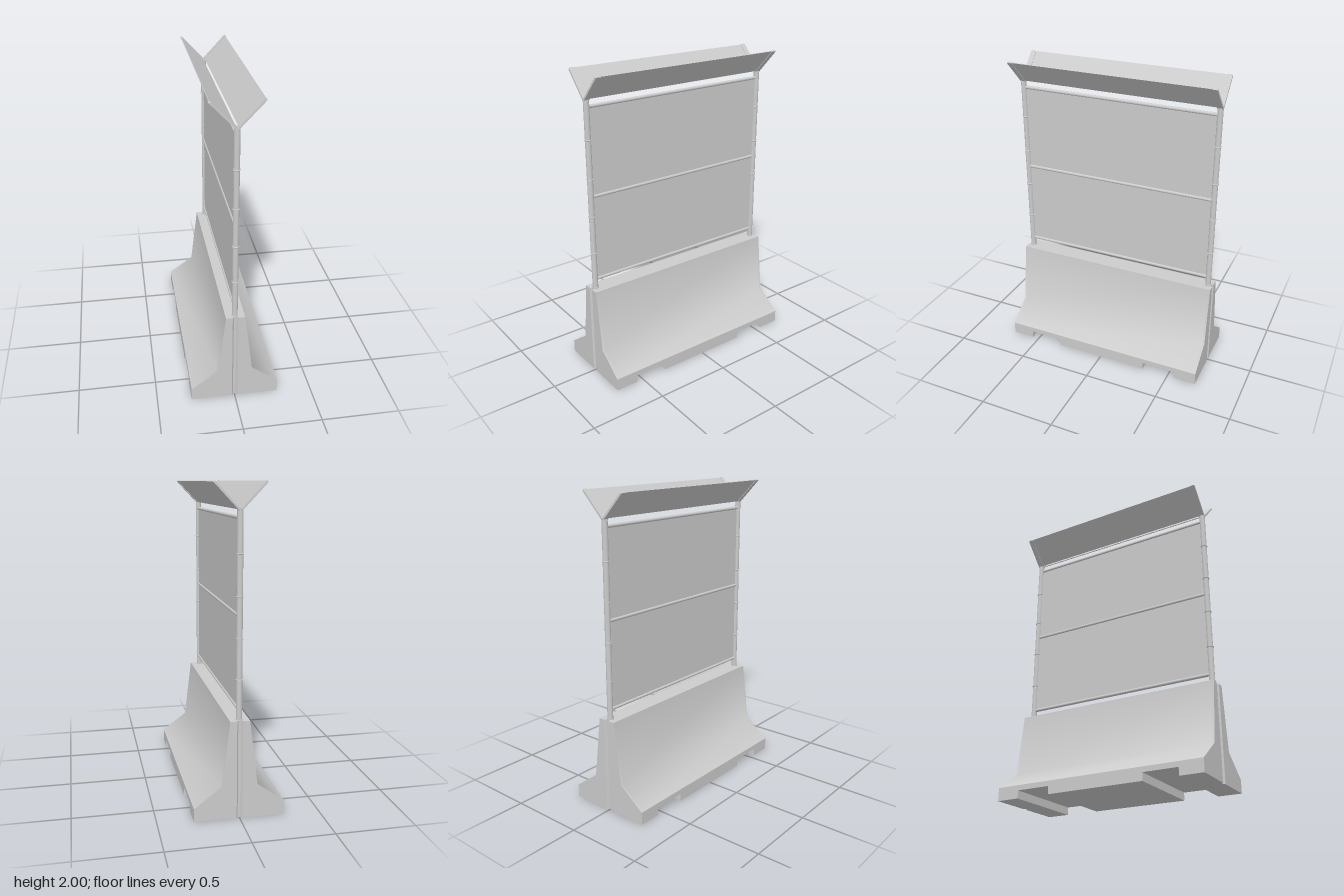
import * as THREE from 'three';
import { toCreasedNormals } from 'three/addons/utils/BufferGeometryUtils.js';

const HALF = 0.696;      // half length of the barrier
const GROOVE = 0.012;    // depth of the end grooves
const POST_Z = 0.662;
const POST_TOP = 1.838;
const BASE_TOP = 0.615;

const material = new THREE.MeshStandardMaterial({ color: 0xcccccc });

function add(parent, name, geometry, x = 0, y = 0, z = 0) {
  const mesh = new THREE.Mesh(geometry, material);
  mesh.name = name;
  mesh.position.set(x, y, z);
  parent.add(mesh);
  return mesh;
}

// Right half of the barrier outline, bottom to top
const sidePoints = (bottom) => [[0.28, bottom], [0.28, 0.083], [0.11, 0.21], [0.06, BASE_TOP]];

function extrudeOutline(points, depth) {
  const shape = new THREE.Shape(points.map(([x, y]) => new THREE.Vector2(x, y)));
  return new THREE.ExtrudeGeometry(shape, { depth, bevelEnabled: false });
}

function buildBarrier() {
  const barrier = new THREE.Group();
  barrier.name = 'concreteBarrier';
  const inner = HALF - GROOVE;

  // Main body, raised over the forklift slots
  const right = sidePoints(0.05);
  const left = right.map(([x, y]) => [-x, y]).reverse();
  const body = extrudeOutline([...right, ...left], inner * 2).translate(0, 0, -inner);
  add(barrier, 'barrierBody', toCreasedNormals(body, 0.87));

  // Feet between the slots
  add(barrier, 'middleFoot', new THREE.BoxGeometry(0.56, 0.05, 0.64), 0, 0.025, 0);
  const footLength = inner - 0.545;
  for (const s of [1, -1]) {
    add(barrier, 'endFoot', new THREE.BoxGeometry(0.56, 0.05, footLength), 0, 0.025, s * (inner - footLength / 2));
  }

  // End faces in two halves, leaving a tapered groove in the middle
  for (const turn of [0, Math.PI]) {
    for (const s of [1, -1]) {
      const outline = [[0.018, 0], ...sidePoints(0), [0.018, BASE_TOP]].map(([x, y]) => [s * x, y]);
      const half = extrudeOutline(outline, GROOVE);
      const p = half.attributes.position;
      for (let i = 0; i < p.count; i++) {
        if (Math.abs(p.getX(i)) < 0.02 && p.getZ(i) < GROOVE / 2) p.setX(i, s * 0.009);
      }
      half.translate(0, 0, inner).rotateY(turn);
      add(barrier, 'barrierEnd', toCreasedNormals(half, 0.87));
    }
  }
  return barrier;
}

function buildPost(z) {
  const post = new THREE.Group();
  post.name = 'post';
  post.position.z = z;
  const height = POST_TOP - BASE_TOP + 0.02;
  add(post, 'postTube', new THREE.CylinderGeometry(0.018, 0.018, height, 24), 0, POST_TOP - height / 2, 0);
  add(post, 'postCollar', new THREE.CylinderGeometry(0.021, 0.021, 0.008, 24), 0, BASE_TOP + 0.003, 0);
  for (let i = 0; i < 4; i++) {
    const ring = new THREE.TorusGeometry(0.0185, 0.004, 8, 24).rotateX(Math.PI / 2);
    add(post, 'postRing', ring, 0, 0.86 + i * 0.245, 0);
  }
  return post;
}

// Flat arm along +x with rounded outer corners
function armGeometry(length, width, thickness) {
  const w = width / 2, r = 0.01;
  const shape = new THREE.Shape();
  shape.moveTo(-0.004, -w);
  shape.lineTo(length - r, -w);
  shape.quadraticCurveTo(length, -w, length, -w + r);
  shape.lineTo(length, w - r);
  shape.quadraticCurveTo(length, w, length - r, w);
  shape.lineTo(-0.004, w);
  const arm = new THREE.ExtrudeGeometry(shape, { depth: thickness, bevelEnabled: false, curveSegments: 6 });
  return arm.translate(0, 0, -thickness / 2).rotateX(-Math.PI / 2);
}

// One sloping half of the V-shaped top guard
function buildWing(turn) {
  const wing = new THREE.Group();
  wing.name = 'topGuardWing';
  wing.rotation.y = turn;
  const slope = new THREE.Group();
  slope.name = 'wingSlope';
  slope.position.set(0.007, 1.841, 0);
  slope.rotation.z = THREE.MathUtils.degToRad(46.5);
  wing.add(slope);
  const length = 0.213;
  for (const s of [1, -1]) add(slope, 'wingArm', armGeometry(length, 0.036, 0.012), 0, 0, s * POST_Z);
  add(slope, 'wingPanel', new THREE.BoxGeometry(length - 0.004, 0.005, 1.29), length / 2, 0, 0);
  return wing;
}

export function createModel() {
  const model = new THREE.Group();
  model.name = 'barrierWithScreen';
  model.add(buildBarrier());
  for (const s of [1, -1]) model.add(buildPost(s * POST_Z));

  // Screen panel and its horizontal rails
  add(model, 'screenPanel', new THREE.BoxGeometry(0.006, 1.115, 1.3), 0, 1.237, 0);
  for (const y of [0.678, 1.237, 1.795]) {
    const rail = new THREE.CylinderGeometry(0.011, 0.011, 1.3, 16).rotateX(Math.PI / 2);
    add(model, 'rail', rail, 0, y, 0);
  }

  for (const turn of [0, Math.PI]) model.add(buildWing(turn));
  return model;
}
